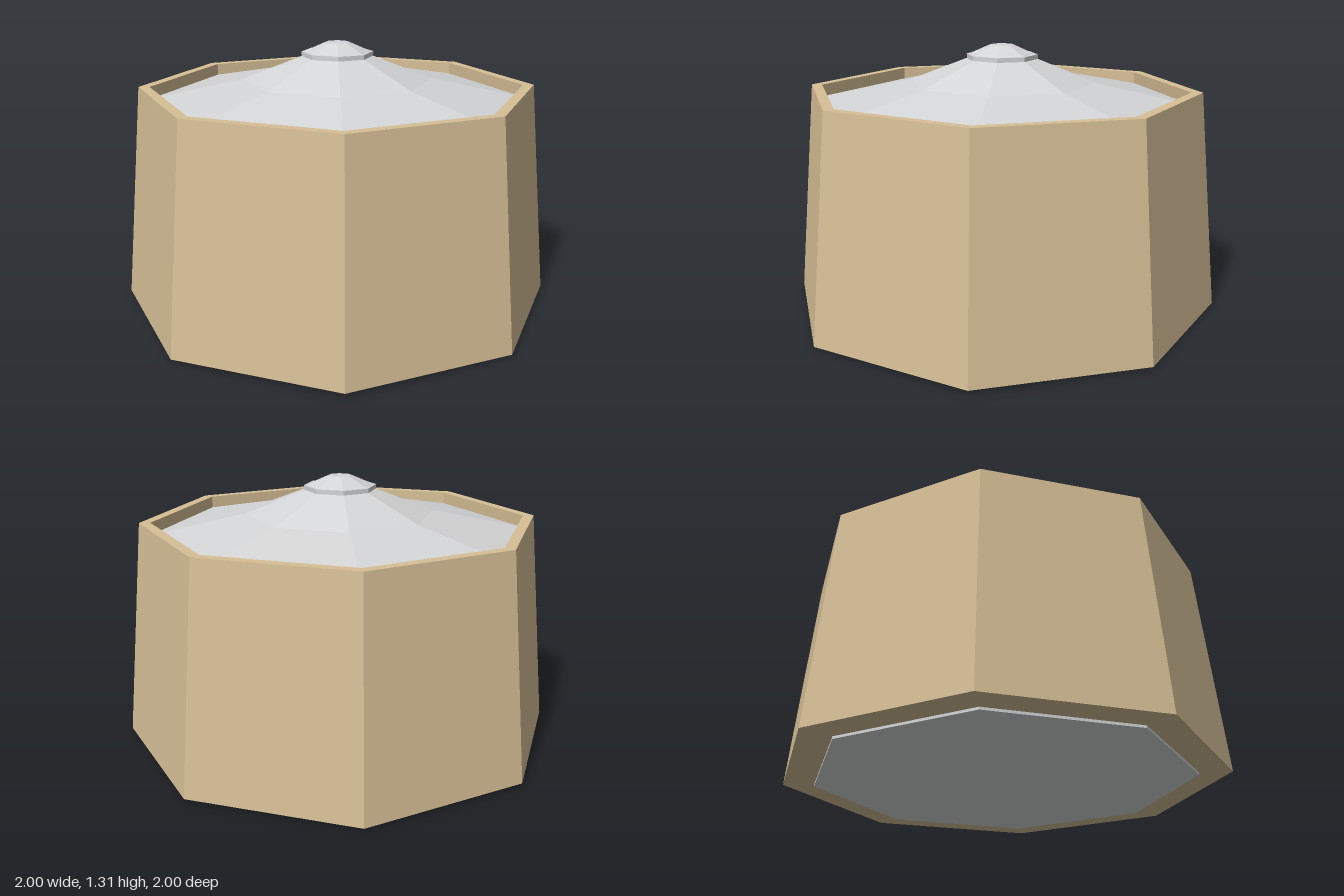
import * as THREE from 'three';

const SIDES = 8;
const TO_CORNER = 1 / Math.cos(Math.PI / SIDES);

// Faceted octagonal solid from [distance to flat side, height] points, bottom to top on the outside
function octagon(name, profile, material) {
  const points = profile.map(([r, y]) => new THREE.Vector2(r * TO_CORNER, y));
  const geometry = new THREE.LatheGeometry(points, SIDES, Math.PI / SIDES).toNonIndexed();
  geometry.computeVertexNormals();
  const mesh = new THREE.Mesh(geometry, material);
  mesh.name = name;
  return mesh;
}

export function createModel() {
  const group = new THREE.Group();
  group.name = 'octagonalTank';

  const sand = new THREE.MeshStandardMaterial({ color: 0xd6bf96 });
  sand.name = 'sand';
  const lightGrey = new THREE.MeshStandardMaterial({ color: 0xd4d5d6 });
  lightGrey.name = 'lightGrey';

  group.add(
    // Tapered wall with a raised rim, closed into a ring
    octagon('wall', [[0.855, 0.012], [1, 0.012], [0.905, 1.095], [0.855, 1.095], [0.855, 1.0]], sand),
    // Floor plate just below the wall
    octagon('floor', [[0, 0], [0.855, 0], [0.855, 0.012]], lightGrey),
    // Two-slope roof sunk inside the rim
    octagon('roof', [[0.855, 1.035], [0.43, 1.132], [0.15, 1.25]], lightGrey),
    // Vent cap
    octagon('cap', [[0, 1.245], [0.163, 1.245], [0.163, 1.267], [0.152, 1.267], [0.055, 1.313], [0, 1.313]], lightGrey)
  );
  return group;
}
